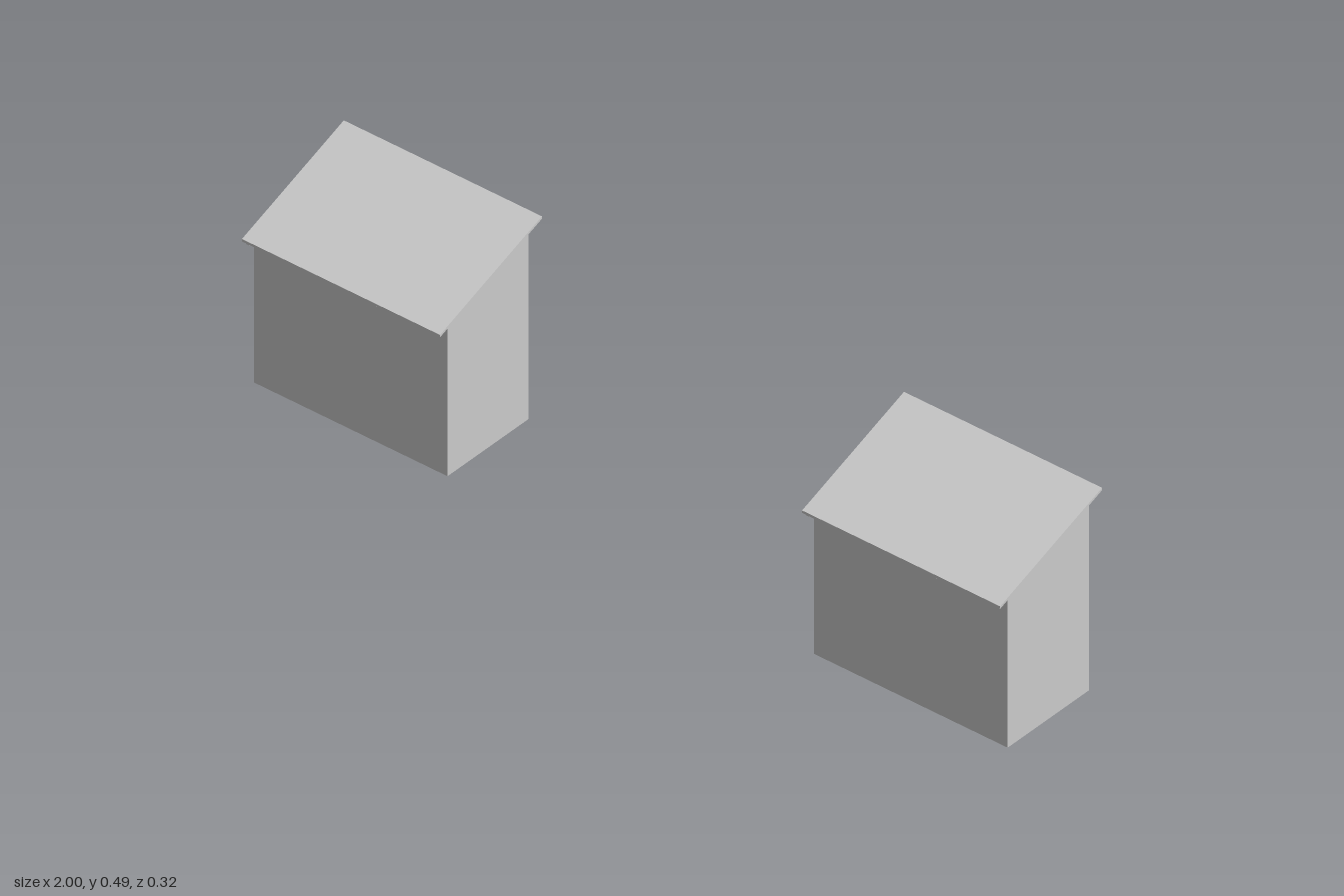
import * as THREE from 'three';

const material = new THREE.MeshStandardMaterial({ color: 0xcccccc, side: THREE.DoubleSide });

// Height of the roof underside at depth z
const eave = (z) => 0.426 - 0.361 * z;

// Prism with a [z, y] outline, running along x from x0 to x1
function prism(name, outline, x0, x1) {
  const shape = new THREE.Shape(outline.map(([z, y]) => new THREE.Vector2(-z, y)));
  const geo = new THREE.ExtrudeGeometry(shape, { depth: x1 - x0, bevelEnabled: false });
  geo.rotateY(Math.PI / 2).translate(x0, 0, 0);
  const mesh = new THREE.Mesh(geo, material);
  mesh.name = name;
  return mesh;
}

// Upright panel from y0 up to the sloping roof
const upTo = (z0, z1, y0 = 0) => [[z0, y0], [z1, y0], [z1, eave(z1)], [z0, eave(z0)]];
// Sloping strip between two offsets from the roof underside
const strip = (z0, z1, a, b) => [[z0, eave(z0) + a], [z1, eave(z1) + a], [z1, eave(z1) + b], [z0, eave(z0) + b]];

function createShed() {
  const shed = new THREE.Group();
  const W = 0.255, T = 0.008, front = 0.132, back = -0.126;

  // Floor with a narrow slot near the front
  const slab = new THREE.Shape();
  slab.moveTo(-W + T, -front + T).lineTo(W - T, -front + T).lineTo(W - T, -back - T).lineTo(-W + T, -back - T);
  const slot = new THREE.Path();
  slot.moveTo(-0.11, -0.097).lineTo(-0.11, -0.083).lineTo(-0.02, -0.083).lineTo(-0.02, -0.097);
  slab.holes.push(slot);
  const floorGeo = new THREE.ExtrudeGeometry(slab, { depth: 0.012, bevelEnabled: false });
  floorGeo.rotateX(-Math.PI / 2);
  const floor = new THREE.Mesh(floorGeo, material);
  floor.name = 'floor';

  shed.add(
    floor,
    // Walls
    prism('frontWall', upTo(front - T, front), -W, W),
    prism('backWall', upTo(back, back + T), -W, W),
    prism('closedSideWall', upTo(back + T, front - T), W - T, W),
    // Side with the tall doorway
    prism('openSideWall', upTo(back + T, 0.02), -W, -W + T),
    prism('doorwaySill', [[0.02, 0], [front - T, 0], [front - T, 0.016], [0.02, 0.016]], -W, -W + T),
    // Door on the back
    prism('backDoor', [[-0.135, 0.015], [back, 0.015], [back, 0.36], [-0.135, 0.36]], 0.12, 0.247),
    // Roof sheet
    prism('roof', strip(-0.161, 0.163, 0, 0.006), -0.261, 0.261)
  );

  // Rafters
  for (let i = 0; i < 4; i++) {
    const x = -0.25 + i * (0.5 / 3);
    shed.add(prism('rafter', strip(-0.154, 0.158, -0.008, 0), x - 0.005, x + 0.005));
  }
  return shed;
}

export function createModel() {
  const model = new THREE.Group();
  model.name = 'shedPair';
  [['rightShed', -0.739], ['leftShed', 0.737]].forEach(([name, x]) => {
    const shed = createShed();
    shed.name = name;
    shed.position.x = x;
    model.add(shed);
  });
  return model;
}
